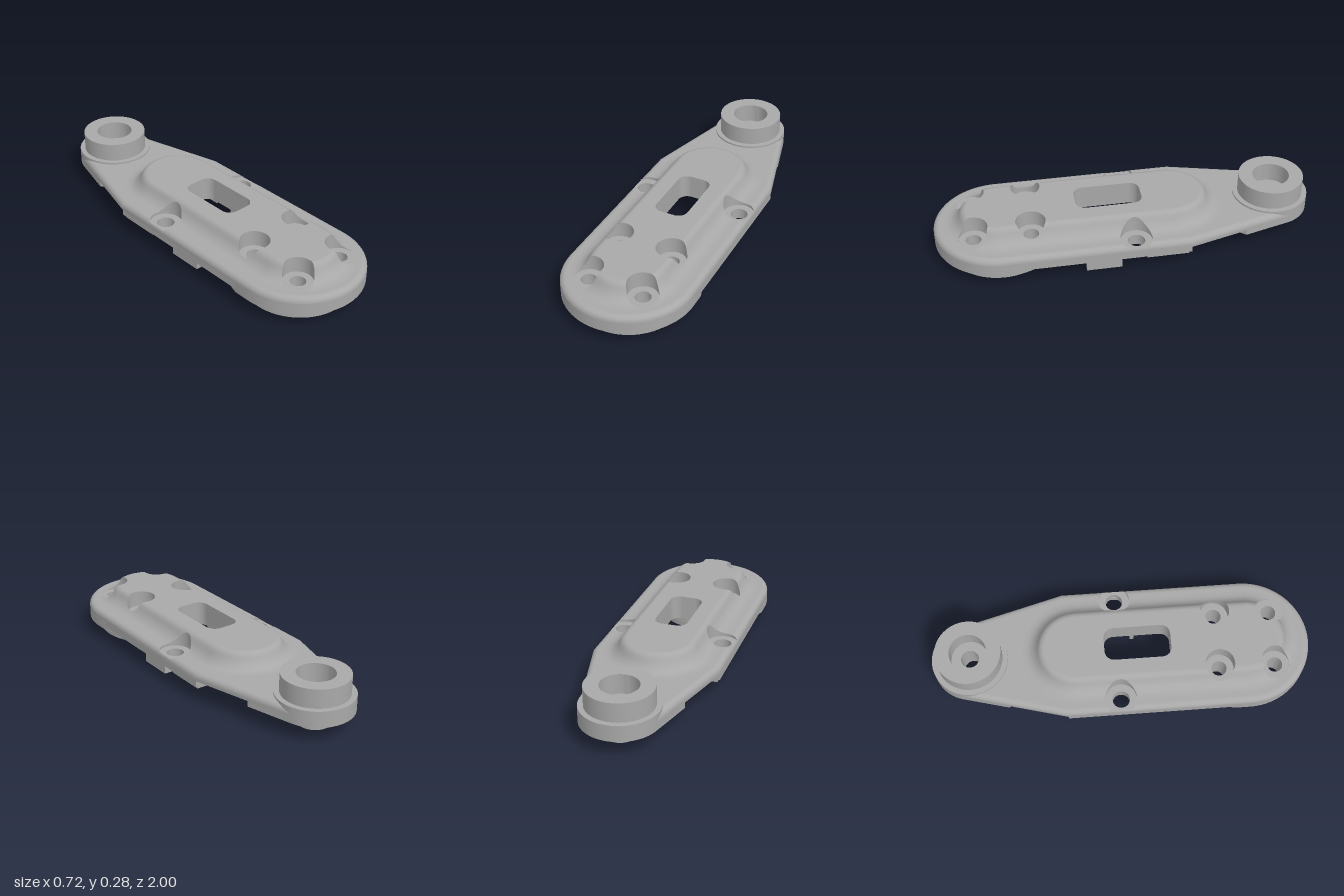
import * as THREE from 'three';
import { toCreasedNormals } from 'three/addons/utils/BufferGeometryUtils.js';

const FRONT = 0.66, BACK = -0.8, DECK_BACK = -0.24, HOLE = 0.04;

// Points are [x, z]; every loop runs from +x towards +z
function arc(cx, cz, r, a0, a1, n) {
  return Array.from({ length: n + 1 }, (_, i) => {
    const a = a0 + (a1 - a0) * i / n;
    return [cx + r * Math.cos(a), cz + r * Math.sin(a)];
  });
}
const circle = (cx, cz, r, n = 48) => arc(cx, cz, r, 0, 2 * Math.PI, n).slice(0, n);

// Plate outline, inset by d: round front, straight sides, taper to a small round end
const outline = d => [
  ...arc(0, FRONT, 0.34 - d, 0, Math.PI, 48), [-0.34 + d, -0.3],
  ...arc(0, BACK, 0.2 - d, Math.PI + 0.26, 2 * Math.PI - 0.26, 32), [0.34 - d, -0.3],
];
const stadium = r => [
  ...arc(0, FRONT, r, 0, Math.PI, 32), ...arc(0, DECK_BACK, r, Math.PI, 2 * Math.PI, 32),
];
function roundedRect(x, z0, z1, r) {
  const q = Math.PI / 2;
  return [[x - r, z1 - r, 0], [r - x, z1 - r, 1], [r - x, z0 + r, 2], [x - r, z0 + r, 3]]
    .flatMap(([cx, cz, k]) => arc(cx, cz, r, k * q, (k + 1) * q, 8));
}

// Raised deck section: distance from the centre line, height
const deckProfile = [[0, 0.25], [0.163, 0.25], [0.172, 0.249], [0.182, 0.245], [0.192, 0.237], [0.2, 0.223],
  [0.208, 0.207], [0.22, 0.191], [0.235, 0.178], [0.25, 0.17], [0.267, 0.166], [0.285, 0.165]];

function heightAt(x, z) {
  const t = Math.abs(x) - 0.31;
  if (t > 0) return t < 0.03 ? 0.135 + Math.sqrt(0.0009 - t * t) : 0;
  const r = Math.hypot(x, z - Math.min(FRONT, Math.max(DECK_BACK, z)));
  for (let i = 1; i < deckProfile.length; i++) {
    const [r0, y0] = deckProfile[i - 1], [r1, y1] = deckProfile[i];
    if (r <= r1) return y0 + (y1 - y0) * (r - r0) / (r1 - r0);
  }
  return 0.165;
}

// Skin over closed loops of [x, y, z]
function loft(loops) {
  const n = loops[0].length, index = [];
  for (let i = 0; i + 1 < loops.length; i++) for (let j = 0; j < n; j++) {
    const a = i * n + j, b = i * n + (j + 1) % n;
    index.push(a, b, a + n, b, b + n, a + n);
  }
  const g = new THREE.BufferGeometry();
  g.setAttribute('position', new THREE.Float32BufferAttribute(loops.flat(2), 3));
  g.setIndex(index);
  g.computeVertexNormals();
  return g;
}
const lift = (pts, y) => pts.map(([x, z]) => [x, typeof y === 'function' ? y(x, z) : y, z]);

function makeShape(pts, holes = []) {
  const v = p => p.map(([x, z]) => new THREE.Vector2(x, -z));
  const s = new THREE.Shape(v(pts));
  s.holes = holes.map(h => new THREE.Path(v(h)));
  return s;
}
function slab(pts, y0, y1, holes) {
  const g = new THREE.ExtrudeGeometry(makeShape(pts, holes), { depth: y1 - y0, bevelEnabled: false });
  return toCreasedNormals(g.rotateX(-Math.PI / 2).translate(0, y0, 0), 0.6);
}

// Faces as lists of [position, normal] corners
function facesOf(g) {
  const p = g.attributes.position, m = g.attributes.normal, faces = [];
  for (let i = 0; i < g.index.count; i += 3) faces.push([0, 1, 2].map(k => {
    const j = g.index.getX(i + k);
    return [p.getX(j), p.getY(j), p.getZ(j), m.getX(j), m.getY(j), m.getZ(j)];
  }));
  return faces;
}
// Cut a convex outline out of the faces; with a floor, sink the inside to it
function carve(faces, poly, floor) {
  const out = [];
  for (const face of faces) {
    let piece = face;
    const outside = [];
    for (let i = 0; i < poly.length && piece.length > 2; i++) {
      const p = poly[i], q = poly[(i + 1) % poly.length], inn = [], ext = [];
      const side = v => (q[0] - p[0]) * (v[2] - p[1]) - (q[1] - p[1]) * (v[0] - p[0]);
      piece.forEach((v, k) => {
        const w = piece[(k + 1) % piece.length], a = side(v), b = side(w);
        (a >= 0 ? inn : ext).push(v);
        if ((a >= 0) !== (b >= 0)) {
          const c = v.map((s, m) => s + (w[m] - s) * a / (a - b));
          inn.push(c);
          ext.push(c);
        }
      });
      if (ext.length > 2) outside.push(ext);
      piece = inn;
    }
    if (piece.length < 3) { out.push(face); continue; }
    out.push(...outside);
    if (floor !== undefined) out.push(piece.map(v => v[1] > floor ? [v[0], floor, v[2], 0, 1, 0] : v));
  }
  return out;
}
function facesToGeometry(faces) {
  const pos = [], nor = [];
  for (const f of faces) for (let i = 1; i + 1 < f.length; i++) for (const v of [f[0], f[i], f[i + 1]]) {
    pos.push(v[0], v[1], v[2]);
    nor.push(v[3], v[4], v[5]);
  }
  const g = new THREE.BufferGeometry();
  g.setAttribute('position', new THREE.Float32BufferAttribute(pos, 3));
  g.setAttribute('normal', new THREE.Float32BufferAttribute(nor, 3));
  return g;
}

export function createModel() {
  const group = new THREE.Group();
  const grey = new THREE.MeshStandardMaterial({ color: 0xa8a8a8, side: THREE.DoubleSide });
  grey.name = 'grey';
  const add = (name, geometry) => {
    const mesh = new THREE.Mesh(geometry, grey);
    mesh.name = name;
    group.add(mesh);
  };
  const box = (name, x0, x1, y0, y1, z0, z1) => add(name,
    new THREE.BoxGeometry(Math.abs(x1 - x0), y1 - y0, z1 - z0).translate((x0 + x1) / 2, (y0 + y1) / 2, (z0 + z1) / 2));

  // Screw pockets: x, z, pocket radius, floor height, hole radius
  const frontScrews = [], sideScrews = [];
  for (const s of [1, -1]) {
    for (const z of [0.505, 0.8]) frontScrews.push([s * 0.147, z, 0.077, 0.165, HOLE]);
    sideScrews.push([s * 0.275, -0.02, 0.083, 0.15, 0.045]);
  }
  const screws = [...frontScrews, ...sideScrews];
  const holesOf = list => list.map(([x, z, , , r]) => circle(x, z, r, 32));
  const windowLoop = roundedRect(0.088, -0.09, 0.26, 0.05);
  const knuckleHole = circle(0, BACK, 0.16);

  // Upper skin: deck, flat ledge and rounded rim, with pockets and window cut in
  const ledge = new THREE.ShapeGeometry(makeShape(outline(0.03), [stadium(0.285), knuckleHole]));
  ledge.rotateX(-Math.PI / 2).translate(0, 0.165, 0);
  const rim = Array.from({ length: 7 }, (_, i) => {
    const a = i * Math.PI / 12;
    return lift(outline(0.03 * (1 - Math.sin(a))), 0.135 + 0.03 * Math.cos(a));
  });
  let skin = [loft(deckProfile.map(([r, y]) => lift(stadium(r), y))), ledge, loft(rim)].flatMap(facesOf);
  for (const [x, z, r, floor] of screws) skin = carve(skin, circle(x, z, r), floor);
  for (const h of [...holesOf(screws), windowLoop]) skin = carve(skin, h);
  add('upperSkin', facesToGeometry(skin));

  // Upright walls of pockets, holes and window
  for (const [x, z, r, floor, hole] of screws) {
    add('pocketWall', loft([lift(circle(x, z, r), floor), lift(circle(x, z, r), (a, b) => Math.max(floor, heightAt(a, b)))]));
    add('screwHoleWall', loft([lift(circle(x, z, hole, 32), 0.12), lift(circle(x, z, hole, 32), floor)]));
  }
  add('windowWall', loft([lift(windowLoop, 0.12), lift(windowLoop, 0.25)]));

  // Plate body, front round pad and boss
  add('plate', slab(outline(0), 0.12, 0.135, [...holesOf(screws), windowLoop, knuckleHole]));
  const bossHoles = [...holesOf(frontScrews), circle(0, FRONT, 0.112)];
  const cut = Math.acos(0.34 / 0.35);
  add('frontPad', slab([...arc(0, FRONT, 0.34, 0, Math.PI, 48),
    ...arc(0, FRONT, 0.35, Math.PI + cut, 2 * Math.PI - cut, 40)], 0.07, 0.12, bossHoles));
  add('frontBoss', slab(circle(0, FRONT, 0.273, 64), 0, 0.07, bossHoles));

  // Knuckle: pad below the plate, then disc, collar and hollow pin in one turned part
  add('rearPad', slab([...arc(0, BACK, 0.32, 0.637, Math.PI - 0.637, 24),
    ...arc(0, BACK, 0.2, Math.PI + 0.26, 2 * Math.PI - 0.26, 32)], 0.09, 0.12, [knuckleHole]));
  const turned = [[0.047, 0.01], [0.083, 0.01], [0.083, 0.1], [0.14, 0.1], [0.14, 0.07], [0.17, 0.07], [0.17, 0.09],
    [0.2, 0.09], [0.2, 0.175], [0.172, 0.175], [0.172, 0.275], [0.097, 0.275], [0.097, 0.17], [0.047, 0.17], [0.047, 0.01]];
  add('knuckle', toCreasedNormals(new THREE.LatheGeometry(turned.map(p => new THREE.Vector2(...p)), 64), 0.6)
    .translate(0, 0, BACK));

  // Underside rails, screw pads with raised lips, and clips
  for (const s of [1, -1]) {
    box('sideRail', s * 0.315, s * 0.34, 0.09, 0.12, -0.3, 0.58);
    add('screwPad', slab([[s * 0.34, 0.05], [s * 0.13, 0.05], [s * 0.13, -0.3], [s * 0.34, -0.3]], 0.09, 0.12,
      [circle(s * 0.275, -0.02, 0.045, 32)]));
    box('lipInner', s * 0.13, s * 0.155, 0.07, 0.09, -0.29, -0.07);
    box('lipOuter', s * 0.3, s * 0.325, 0.07, 0.09, -0.29, -0.07);
    box('lipEnd', s * 0.155, s * 0.3, 0.07, 0.09, -0.29, -0.265);
    box('clipWall', s * 0.272, s * 0.292, 0, 0.12, 0.055, 0.24);
    const z = s > 0 ? 0.055 : 0.22;
    box('clipCross', s * 0.115, s * 0.272, 0, 0.12, z, z + 0.02);
  }
  return group;
}
